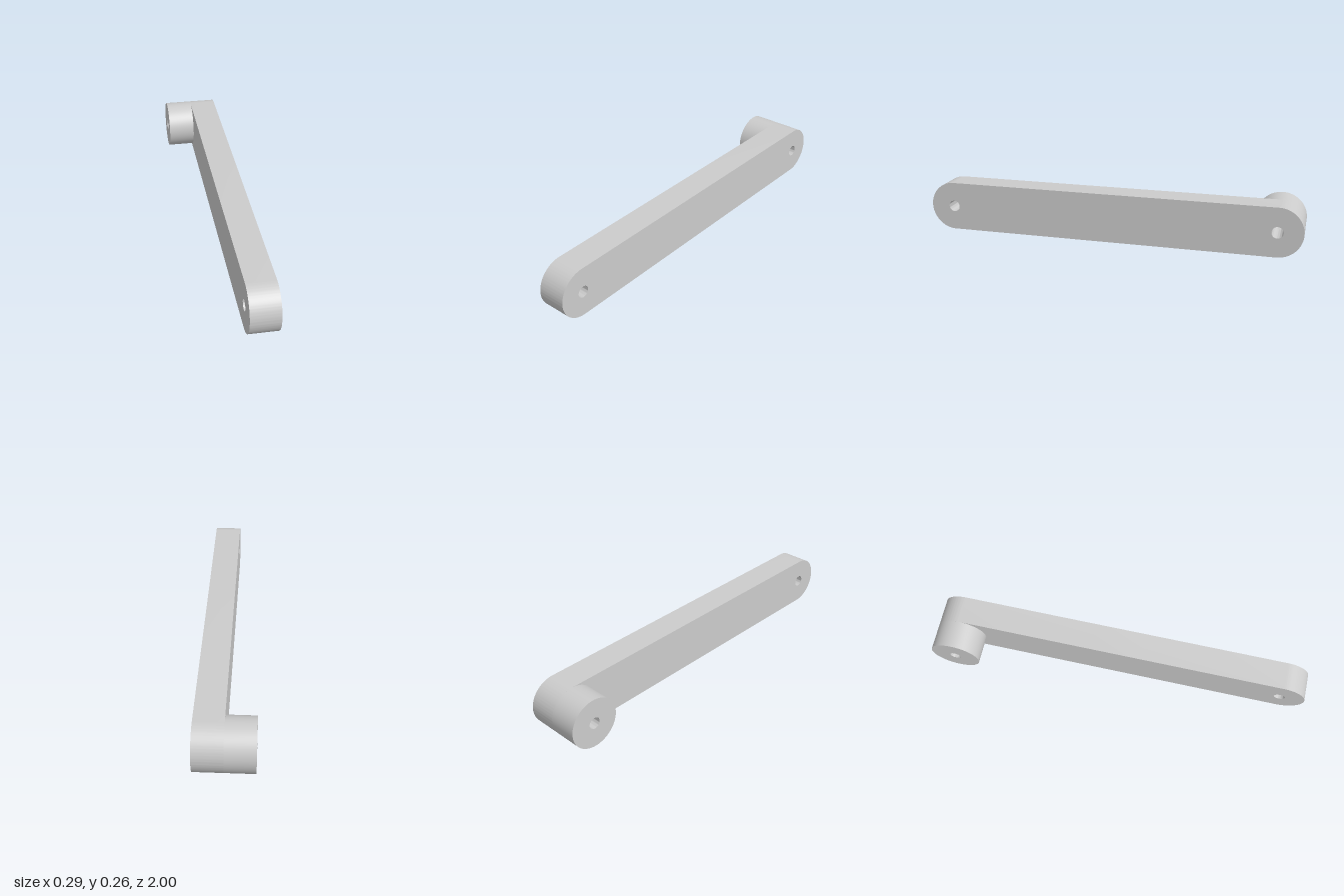
import * as THREE from 'three';
import { toCreasedNormals } from 'three/addons/utils/BufferGeometryUtils.js';

const R = 0.13;        // rounded end radius
const HOLE = 0.03;     // bore radius
const T = 0.145;       // bar thickness and boss length
const PIVOT = 1 - R;   // distance of each bore from the centre

export function createModel() {
  const group = new THREE.Group();
  const material = new THREE.MeshStandardMaterial({ color: 0xcccccc });

  const add = (name, geometry) => {
    const mesh = new THREE.Mesh(toCreasedNormals(geometry, 0.5), material);
    mesh.name = name;
    group.add(mesh);
    return mesh;
  };

  // Bar: a stadium outline with a bore at each end
  const outline = new THREE.Shape();
  outline.absarc(PIVOT, 0, R, -Math.PI / 2, Math.PI / 2, false);
  outline.absarc(-PIVOT, 0, R, Math.PI / 2, Math.PI * 1.5, false);
  outline.closePath();
  for (const s of [-1, 1]) {
    const bore = new THREE.Path();
    bore.absarc(s * PIVOT, 0, HOLE, 0, Math.PI * 2, true);
    outline.holes.push(bore);
  }
  const bar = new THREE.ExtrudeGeometry(outline, { depth: T, bevelEnabled: false, curveSegments: 32 });
  bar.rotateY(Math.PI / 2);
  add('armBar', bar).position.set(0, R, 0);

  // Boss: a bored cylinder on the inner side of the back end, open where it meets the bar
  const profile = [[R, 0], [R, T], [HOLE, T], [HOLE, 0]].map(([x, y]) => new THREE.Vector2(x, y));
  const boss = new THREE.LatheGeometry(profile, 64);
  boss.rotateZ(Math.PI / 2);
  add('pivotBoss', boss).position.set(0, R, -PIVOT);

  return group;
}
